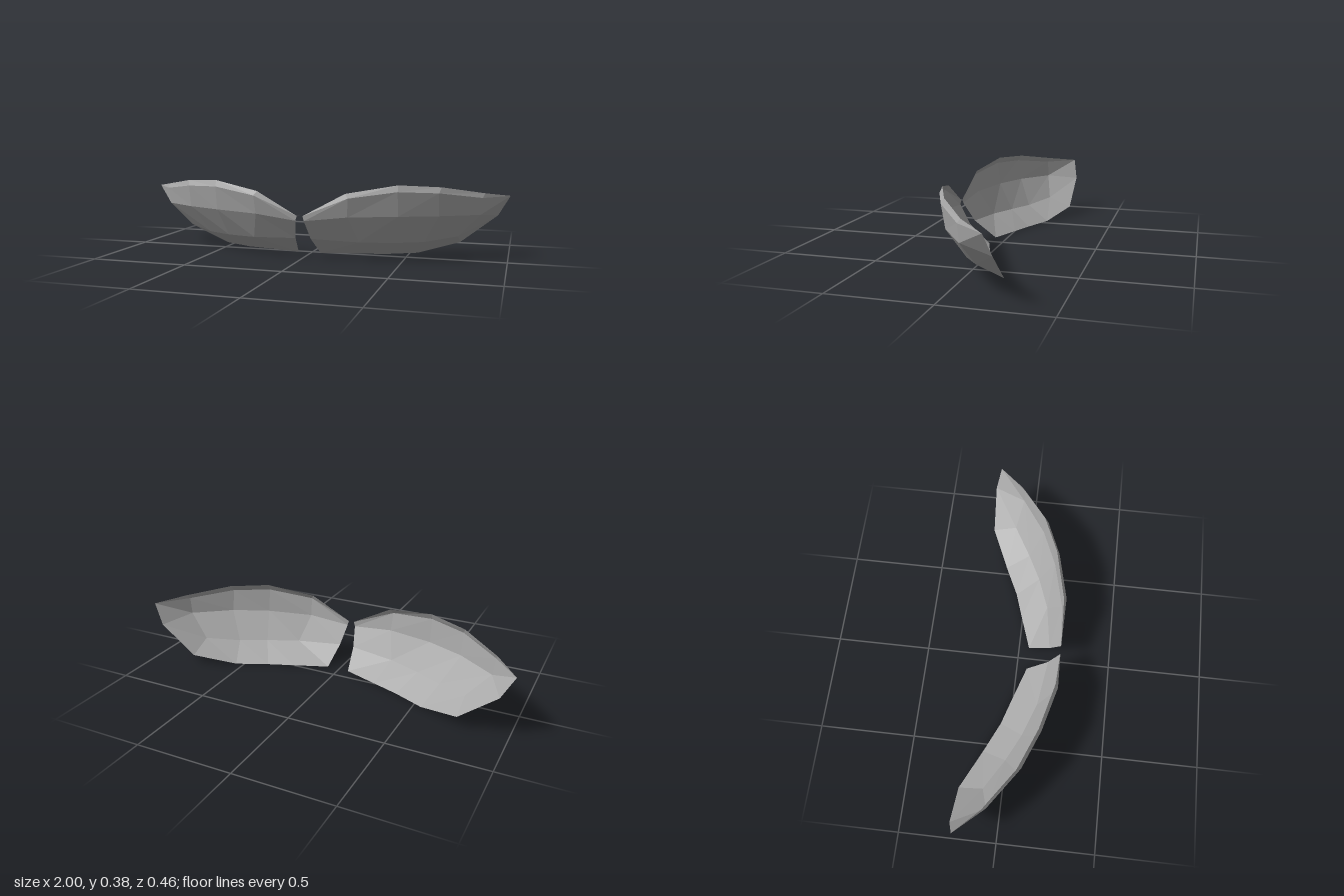
import * as THREE from 'three';

// Cross-sections of one wing from the centre outwards; each runs lip, upper edge, middle, lower, bottom
const SECTIONS = [
  [[0.015, 0.225, 0.226], [0.015, 0.225, 0.226], [0.022, 0.2, 0.226], [0.04, 0.102, 0.167], [0.06, 0.01, 0.055]],
  [[0.23, 0.342, 0.215], [0.245, 0.32, 0.228], [0.24, 0.225, 0.21], [0.28, 0.09, 0.132], [0.24, 0.006, -0.005]],
  [[0.48, 0.385, 0.153], [0.48, 0.353, 0.168], [0.48, 0.23, 0.15], [0.45, 0.085, 0.07], [0.38, 0.002, -0.05]],
  [[0.68, 0.373, 0.07], [0.67, 0.345, 0.09], [0.67, 0.23, 0.07], [0.59, 0.085, 0], [0.54, 0.004, -0.125]],
  [[0.88, 0.335, -0.075], [0.87, 0.313, -0.055], [0.86, 0.227, -0.06], [0.75, 0.107, -0.095], [0.75, 0.055, -0.222]],
  [[1, 0.312, -0.203], [1, 0.312, -0.203], [0.94, 0.205, -0.228], [0.75, 0.055, -0.222], [0.75, 0.055, -0.222]],
];

// Faceted open shell between neighbouring sections; side is 1 for left, -1 for right
function shellGeometry(side) {
  const positions = [];
  const same = (p, q) => p.every((v, k) => v === q[k]);
  const triangle = (a, b, c) => {
    if (same(a, b) || same(b, c) || same(a, c)) return;
    for (const [x, y, z] of side > 0 ? [a, b, c] : [a, c, b]) positions.push(x * side, y, z);
  };
  for (let i = 0; i < SECTIONS.length - 1; i++) {
    for (let j = 0; j < SECTIONS[i].length - 1; j++) {
      const a = SECTIONS[i][j], b = SECTIONS[i][j + 1];
      const c = SECTIONS[i + 1][j + 1], d = SECTIONS[i + 1][j];
      triangle(a, b, d);
      triangle(b, c, d);
    }
  }
  const geometry = new THREE.BufferGeometry();
  geometry.setAttribute('position', new THREE.Float32BufferAttribute(positions, 3));
  geometry.computeVertexNormals();
  return geometry;
}

export function createModel() {
  const group = new THREE.Group();
  group.name = 'curvedShellPair';
  const grey = new THREE.MeshStandardMaterial({ color: 0xa8a8a8, flatShading: true, side: THREE.DoubleSide });
  grey.name = 'grey';

  for (const [name, side] of [['leftShell', 1], ['rightShell', -1]]) {
    const shell = new THREE.Mesh(shellGeometry(side), grey);
    shell.name = name;
    group.add(shell);
  }
  return group;
}
